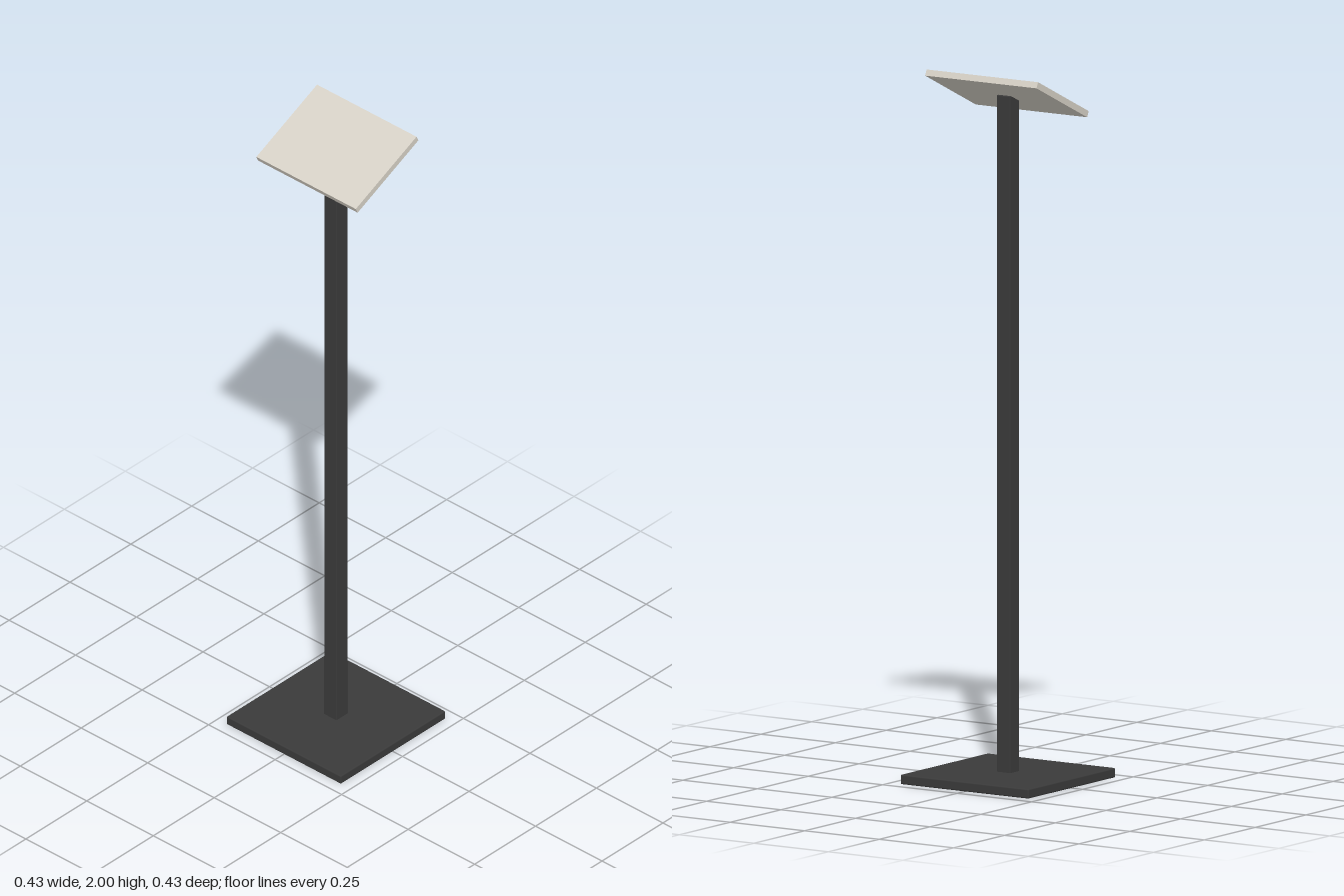
import * as THREE from 'three';
import { RoundedBoxGeometry } from 'three/addons/geometries/RoundedBoxGeometry.js';

export function createModel() {
  const model = new THREE.Group();
  model.name = 'signStand';

  const darkMetal = new THREE.MeshStandardMaterial({ name: 'darkMetal', color: 0x3a3a3a });
  const palePanel = new THREE.MeshStandardMaterial({ name: 'palePanel', color: 0xd6d1c6 });

  const add = (name, geometry, material, y, z = 0) => {
    const mesh = new THREE.Mesh(geometry, material);
    mesh.name = name;
    mesh.position.set(0, y, z);
    model.add(mesh);
    return mesh;
  };

  // Square floor plate with slightly softened edges
  add('base', new RoundedBoxGeometry(0.43, 0.027, 0.43, 2, 0.004), darkMetal, 0.0135);

  // Square upright, its flat top tucked into the panel
  const bottom = 0.02, top = 1.93;
  add('post', new RoundedBoxGeometry(0.046, top - bottom, 0.046, 2, 0.003), darkMetal, (top + bottom) / 2);

  // Display panel, tilted to face the front
  const panel = add('panel', new THREE.BoxGeometry(0.374, 0.018, 0.275), palePanel, 1.934, -0.0055);
  panel.rotation.x = THREE.MathUtils.degToRad(25);

  return model;
}
